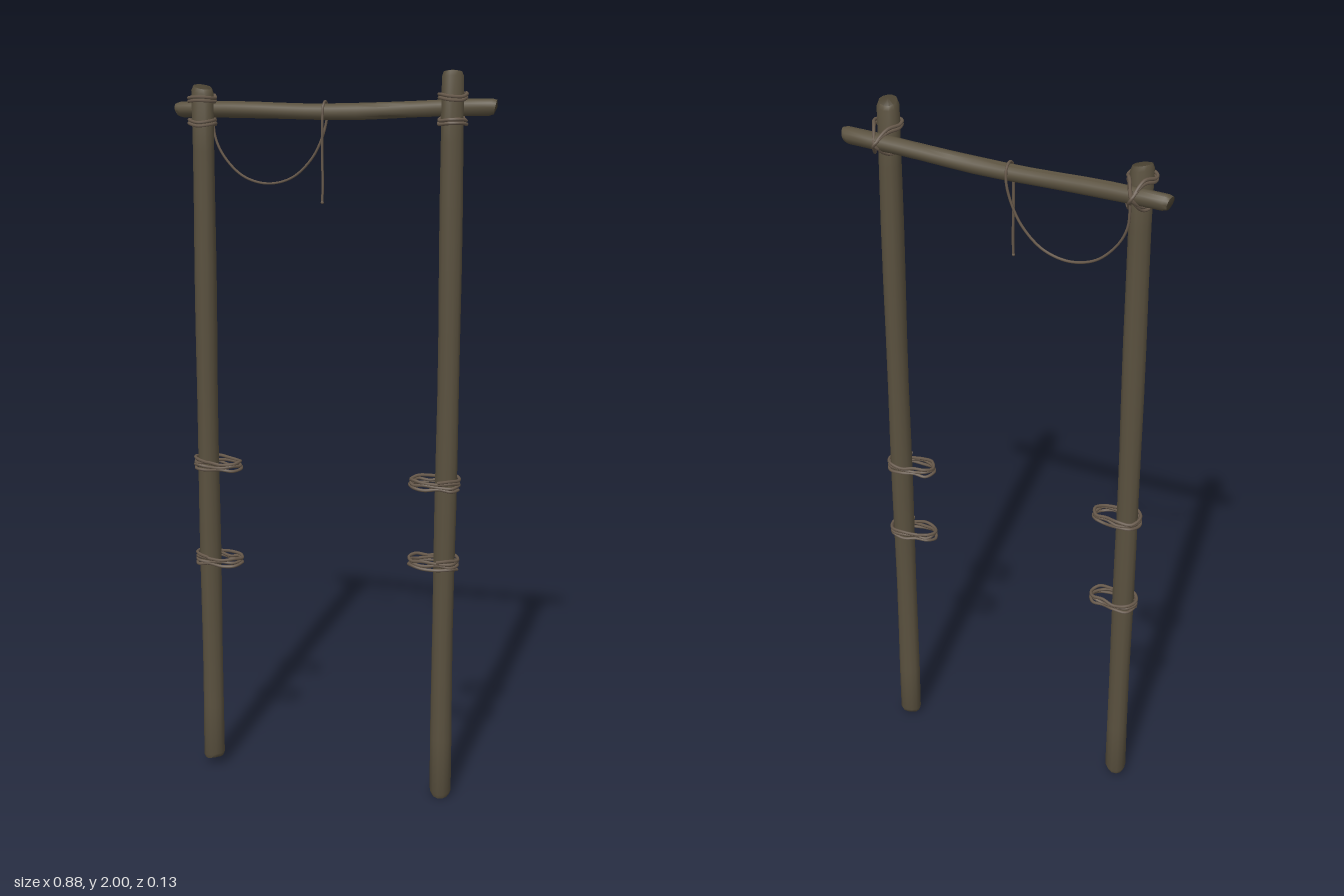
import * as THREE from 'three';
import { toCreasedNormals } from 'three/addons/utils/BufferGeometryUtils.js';

const V = (x, y, z) => new THREE.Vector3(x, y, z);

export function createModel() {
  const model = new THREE.Group();
  model.name = 'poleFrame';

  const mat = (name, color) => {
    const m = new THREE.MeshStandardMaterial({ color });
    m.name = name;
    return m;
  };
  const wood = mat('wood', 0x5a513f);
  const endGrain = mat('endGrain', 0x4a4232);
  const rope = mat('rope', 0x66584a);

  const add = (name, geometry, material, parent = model) => {
    const mesh = new THREE.Mesh(geometry, material);
    mesh.name = name;
    parent.add(mesh);
    return mesh;
  };

  // Uneven log along y from 0 to length, with worn, slanted ends; bend(t) gives a sideways offset
  function logGeometry(length, radius, seed, slant, bend) {
    const rows = 14;
    const g = new THREE.CylinderGeometry(1, 1, 1, 12, rows);
    const p = g.attributes.position;
    for (let i = 0; i < p.count; i++) {
      const row = Math.round((p.getY(i) + 0.5) * rows);
      const edge = row === 0 || row === rows;
      const t = row === 0 ? 0 : row === rows ? 1
        : 0.012 / length + ((row - 1) / (rows - 2)) * (1 - 0.024 / length);
      const x = p.getX(i), z = p.getZ(i), a = Math.atan2(z, x);
      const r = radius * (edge ? 0.84 : 1)
        * (1 + 0.035 * Math.sin(3 * a + seed + t * 5) + 0.03 * Math.sin(t * 17 + seed * 2));
      const dip = (row < 2 ? 1 : row > rows - 2 ? -1 : 0) * slant * (0.5 + 0.5 * Math.sin(a + seed)) * Math.hypot(x, z);
      const [dx, dz] = bend(t);
      p.setXYZ(i, x * r + dx, t * length + dip, z * r + dz);
    }
    return toCreasedNormals(g, 0.8);
  }

  // Two upright posts
  const posts = [
    { name: 'rightPost', x: -0.346, bottom: 0.015, top: 1.95, seed: 1, inward: 1, loops: [0.915, 0.637] },
    { name: 'leftPost', x: 0.336, bottom: 0, top: 2, seed: 3.4, inward: -1, loops: [0.915, 0.692] },
  ];
  const postZ = 0.013;
  for (const s of posts) {
    const g = logGeometry(s.top - s.bottom, 0.0295, s.seed, 0.012,
      t => [0.002 * Math.sin(t * 7 + s.seed), 0.002 * Math.sin(t * 5 + s.seed)]);
    add(s.name, g, [wood, endGrain, endGrain]).position.set(s.x, s.bottom, postZ);
  }

  // Crossbeam resting behind the posts, rising slightly to one side
  const beamZ = -0.034;
  const beamY = t => 1.88 + 0.025 * t * t + 0.003 * Math.sin(t * 9);
  const beam = logGeometry(0.88, 0.0215, 2.2, 0.01,
    t => [-beamY(t), 0.003 * Math.sin(t * 6 - 0.5)]);
  beam.rotateZ(-Math.PI / 2);
  add('crossbeam', beam, [wood, endGrain, endGrain]).position.set(-0.44, 0, beamZ);

  const ropeGeometry = (points, radius, closed = false, segments = points.length * 5) =>
    new THREE.TubeGeometry(new THREE.CatmullRomCurve3(points, closed), segments, radius, 6, closed);

  // Lashing turns: over and under the beam, crossing behind it and around the post
  const lashTurn = [
    [0, 1, 0.036], [0.028, 1, 0.022], [0.034, 1, -0.004], [0.018, 1, -0.042], [0, 0, -0.073],
    [-0.018, -1, -0.042], [-0.034, -1, -0.004], [-0.028, -1, 0.022], [0, -1, 0.036],
    [0.028, -1, 0.022], [0.034, -1, -0.004], [0.018, -1, -0.042], [0, 0, -0.078],
    [-0.018, 1, -0.042], [-0.034, 1, -0.004], [-0.028, 1, 0.022],
  ];
  for (const s of posts) {
    const lashing = new THREE.Group();
    lashing.name = s.name + 'Lashing';
    lashing.position.set(s.x, beamY((s.x + 0.44) / 0.88), postZ);
    model.add(lashing);
    for (let k = 0; k < 2; k++) {
      const pts = lashTurn.map(([x, y, z], i) =>
        V(x * (1 + 0.04 * k), y * (0.026 + 0.009 * k) + 0.003 * Math.sin(i * 2 + s.seed), z * (1 - 0.05 * k)));
      add('lashingTurn', ropeGeometry(pts, 0.0045, true), rope, lashing);
    }
  }

  // Rope grips: a few turns around the post, stretched into a loop on its inner side
  const gripTurn = [
    [-0.036, 0.004], [-0.024, 0.03], [0.01, 0.036], [0.05, 0.041], [0.082, 0.032],
    [0.096, 0.006], [0.082, -0.018], [0.05, -0.024], [0.015, -0.034], [-0.022, -0.028],
  ];
  for (const s of posts) {
    s.loops.forEach((y, n) => {
      const pts = [], turns = 3, count = gripTurn.length;
      for (let i = 0; i <= turns * count; i++) {
        const [x, z] = gripTurn[i % count];
        const turn = i / count;
        const wobble = Math.sin(i * 2.3 + s.seed + n * 2);
        const grow = 1 + 0.025 * Math.sin(turn * 2.4 + n);
        pts.push(V(s.inward * x * grow, (turn / turns - 0.5) * 0.026 + 0.003 * wobble, z * grow));
      }
      // Loose tail end
      pts.push(V(s.inward * -0.018, 0.016, 0.036), V(s.inward * 0.012, 0.012, 0.046));
      const grip = add(s.name + (n ? 'LowerGrip' : 'UpperGrip'), ropeGeometry(pts, 0.0045), rope);
      grip.position.set(s.x, y, postZ);
    });
  }

  // Slack rope: from the lashing, sagging behind the beam, over it and hanging down in front
  const slack = [
    V(-0.345, 1.87, -0.062), V(-0.34, 1.81, -0.06), V(-0.315, 1.758, -0.058), V(-0.26, 1.706, -0.057),
    V(-0.19, 1.688, -0.056), V(-0.12, 1.706, -0.056), V(-0.065, 1.757, -0.057), V(-0.035, 1.815, -0.058),
    V(-0.022, 1.87, -0.06), V(-0.02, 1.9, -0.053), V(-0.019, 1.911, -0.034), V(-0.018, 1.9, -0.013),
    V(-0.018, 1.87, -0.008), V(-0.019, 1.78, -0.008), V(-0.017, 1.7, -0.007), V(-0.018, 1.65, -0.006),
  ];
  add('slackRope', ropeGeometry(slack, 0.0035, false, 90), rope);
  const tip = add('slackRopeEnd', new THREE.SphereGeometry(0.0045, 8, 6), rope);
  tip.position.copy(slack[slack.length - 1]);

  return model;
}
